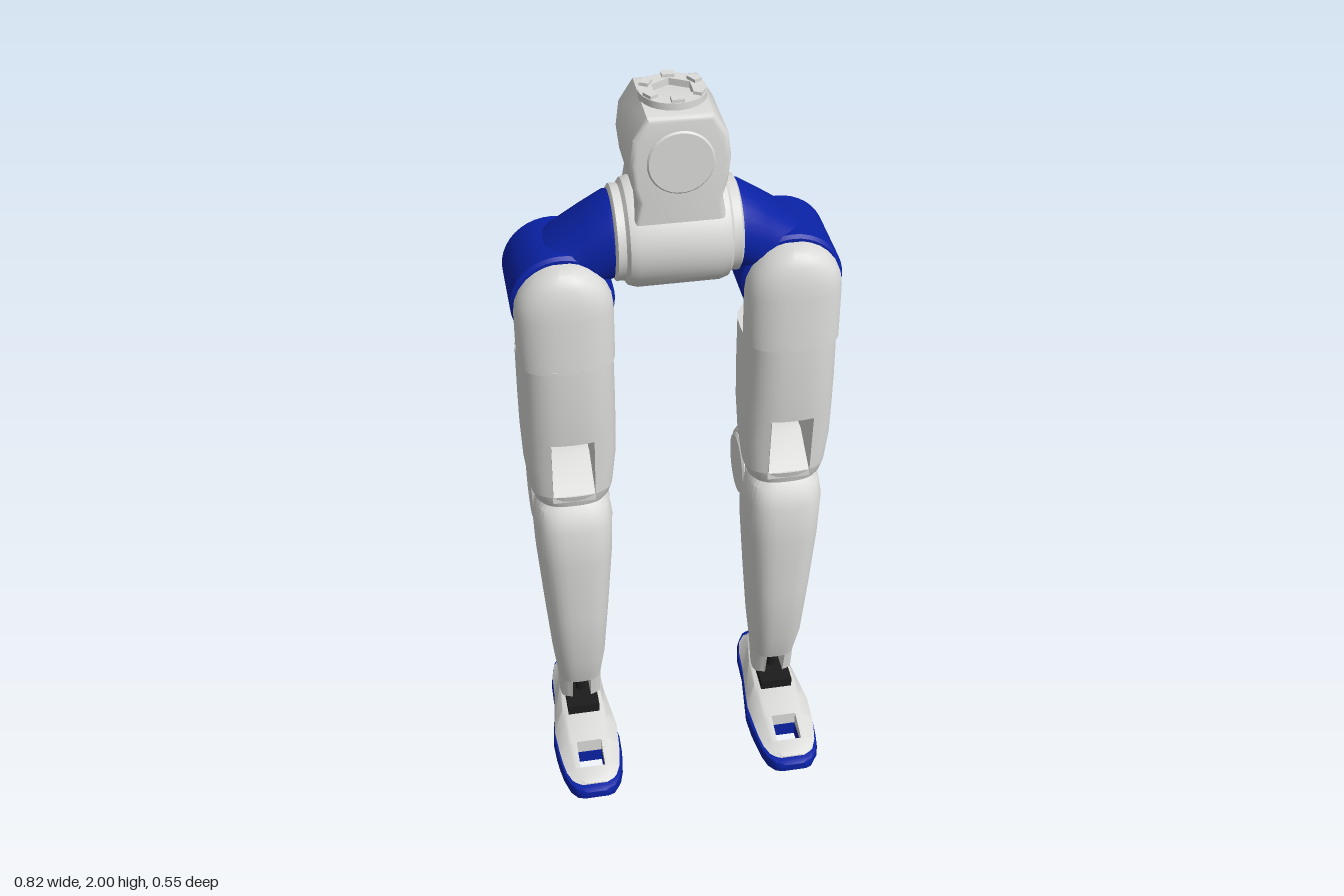
import * as THREE from 'three';
import { toCreasedNormals } from 'three/addons/utils/BufferGeometryUtils.js';

const shellGrey = new THREE.MeshStandardMaterial({ color: 0xdcdcda });
const jointBlue = new THREE.MeshStandardMaterial({ color: 0x0a22a6 });
const ankleBlack = new THREE.MeshStandardMaterial({ color: 0x1c1c1c });

function add(parent, name, geo, mat, x = 0, y = 0, z = 0, crease = 0.6) {
  const mesh = new THREE.Mesh(toCreasedNormals(geo, crease), mat);
  mesh.name = name;
  mesh.position.set(x, y, z);
  parent.add(mesh);
  return mesh;
}

// Closed solid through rings of [x, y, z]; x may be clamped to cut a flat wall for openings
function loft(rings, lo = -9, hi = 9) {
  const R = rings.map(r => r.map(p => new THREE.Vector3(THREE.MathUtils.clamp(p[0], lo, hi), p[1], p[2])));
  const tris = [], n = R[0].length;
  for (let i = 0; i + 1 < R.length; i++) {
    for (let j = 0; j < n; j++) {
      const k = (j + 1) % n, a = R[i][j], b = R[i][k], c = R[i + 1][k], d = R[i + 1][j];
      tris.push([a, b, c], [a, c, d]);
    }
  }
  const cap = (r, flip) => {
    const c = r.reduce((s, p) => s.add(p), new THREE.Vector3()).divideScalar(n);
    for (let j = 0; j < n; j++) {
      const a = r[j], b = r[(j + 1) % n];
      tris.push(flip ? [c, b, a] : [c, a, b]);
    }
  };
  cap(R[0], true);
  cap(R[R.length - 1], false);
  const volume = tris.reduce((s, [a, b, c]) => s + a.dot(b.clone().cross(c)), 0);
  const pos = [];
  for (const [a, b, c] of tris) {
    const area = b.clone().sub(a).cross(c.clone().sub(a)).length();
    if (area < 1e-9) continue;
    for (const p of volume < 0 ? [a, c, b] : [a, b, c]) pos.push(p.x, p.y, p.z);
  }
  const g = new THREE.BufferGeometry();
  g.setAttribute('position', new THREE.Float32BufferAttribute(pos, 3));
  return g;
}

const pow = (v, e) => Math.sign(v) * Math.abs(v) ** e;

// Horizontal rounded section: height, half width, front z, back z, z of the widest line
function oval([y, w, zf, zb, zc = (zf + zb) / 2], e = 0.75) {
  return Array.from({ length: 36 }, (_, i) => {
    const t = (i / 36) * Math.PI * 2, s = pow(Math.sin(t), e);
    return [w * pow(Math.cos(t), e), y, zc + s * (s > 0 ? zf - zc : zc - zb)];
  });
}

// Upright ring at x for the hip arm
function armRing(x, cy, ry, rz, cz, e) {
  return Array.from({ length: 32 }, (_, i) => {
    const t = (i / 32) * Math.PI * 2;
    return [x, cy + ry * pow(Math.sin(t), e), cz + rz * pow(Math.cos(t), e)];
  });
}

function cylinderX(r, width, bevel = 0.01) {
  const h = width / 2;
  const p = [[0, -h], [r - bevel, -h], [r, bevel - h], [r, h - bevel], [r - bevel, h], [0, h]];
  return new THREE.LatheGeometry(p.map(q => new THREE.Vector2(...q)), 40).rotateZ(Math.PI / 2);
}

// Foot sections run along z: [z, half width, bottom, top, top half width]
function footRing([z, w, y0, y1, tw]) {
  const m = y0 + (y1 - y0) * 0.4;
  return [[-w * 0.92, y0, z], [-w, m, z], [-tw, y1 - 0.004, z], [-tw * 0.85, y1, z],
    [tw * 0.85, y1, z], [tw, y1 - 0.004, z], [w, m, z], [w * 0.92, y0, z]];
}

function addFootLayer(foot, name, mat, front, middle, back) {
  const hole = [front[front.length - 1], ...middle, back[0]].map(footRing);
  add(foot, name + 'Toe', loft(front.map(footRing)), mat);
  add(foot, name + 'SideA', loft(hole, 0.035, 9), mat);
  add(foot, name + 'SideB', loft(hole, -9, -0.035), mat);
  add(foot, name + 'Heel', loft(back.map(footRing)), mat);
}

function buildFoot() {
  const foot = new THREE.Group();
  foot.name = 'foot';
  addFootLayer(foot, 'sole', jointBlue,
    [[0.275, 0.036, 0.022, 0.045, 0.03], [0.262, 0.056, 0.014, 0.05, 0.052], [0.235, 0.074, 0.008, 0.05, 0.07], [0.2, 0.084, 0.005, 0.05, 0.08]],
    [[0.16, 0.09, 0.004, 0.05, 0.085]],
    [[0.12, 0.094, 0.003, 0.048, 0.089], [0.06, 0.096, 0.004, 0.042, 0.092], [0, 0.088, 0.008, 0.035, 0.085], [-0.1, 0.075, 0.008, 0.034, 0.072],
      [-0.18, 0.073, 0.004, 0.048, 0.07], [-0.235, 0.062, 0.005, 0.06, 0.056], [-0.262, 0.045, 0.01, 0.06, 0.04], [-0.275, 0.028, 0.018, 0.052, 0.024]]);
  addFootLayer(foot, 'upper', shellGrey,
    [[0.25, 0.04, 0.045, 0.054, 0.032], [0.23, 0.062, 0.045, 0.06, 0.048], [0.2, 0.075, 0.045, 0.068, 0.054]],
    [[0.16, 0.082, 0.045, 0.078, 0.056]],
    [[0.12, 0.086, 0.044, 0.087, 0.058], [0.05, 0.09, 0.036, 0.1, 0.06], [0, 0.085, 0.03, 0.105, 0.06], [-0.1, 0.073, 0.03, 0.107, 0.055],
      [-0.17, 0.07, 0.044, 0.107, 0.045], [-0.215, 0.06, 0.055, 0.085, 0.04], [-0.25, 0.04, 0.055, 0.066, 0.03]]);
  return foot;
}

function buildLeg() {
  const leg = new THREE.Group();

  // Thigh: domed front cap against the hip motor, full body, open window with two pillars
  const dome = [[1.335, 0.122, 0.078, -0.006, -0.006], [1.48, 0.122, 0.076, -0.006, -0.006]];
  for (const a of [15, 30, 45, 58, 70, 80]) {
    const t = a * Math.PI / 180;
    dome.push([1.48 + 0.122 * Math.sin(t), 0.122 * Math.cos(t), 0.014 + 0.062 * Math.cos(t) ** 0.6, -0.006, -0.006]);
  }
  add(leg, 'thighCap', loft(dome.map(s => oval(s, 0.85))), shellGrey);
  const windowTop = [1.11, 0.122, 0.066, -0.158], windowLow = [0.93, 0.108, 0.05, -0.11];
  add(leg, 'thigh', loft([[1.345, 0.121, 0.078, -0.17], [1.2, 0.122, 0.076, -0.168], windowTop].map(s => oval(s))), shellGrey);
  const pillar = [windowTop, [1.02, 0.119, 0.057, -0.128], windowLow].map(s => oval(s));
  add(leg, 'thighPillarA', loft(pillar, 0.055, 9), shellGrey);
  add(leg, 'thighPillarB', loft(pillar, -9, -0.055), shellGrey);
  add(leg, 'thighEnd', loft([windowLow, [0.9, 0.098, 0.042, -0.1], [0.86, 0.06, 0.03, -0.1]].map(s => oval(s))), shellGrey);
  const sill = [[0.045, 0.91], [0.045, 0.93], [-0.06, 0.99], [-0.115, 0.99], [-0.1, 0.91]];
  add(leg, 'windowSill', loft([-0.056, 0.056].map(x => sill.map(([z, y]) => [x, y, z]))), shellGrey);

  // Knee drum with side covers
  add(leg, 'kneeDrum', cylinderX(0.106, 0.19, 0.012), shellGrey, 0, 0.838, -0.128);
  add(leg, 'kneeCovers', cylinderX(0.086, 0.206, 0.006), shellGrey, 0, 0.838, -0.128);

  // Shin, forked at the ankle
  const fork = [0.21, 0.061, 0.005, -0.135];
  add(leg, 'shin', loft([[0.9, 0.075, 0.03, -0.1], [0.875, 0.096, 0.055, -0.13], [0.82, 0.105, 0.073, -0.155], [0.7, 0.101, 0.073, -0.162],
    [0.5, 0.087, 0.06, -0.16], [0.32, 0.073, 0.045, -0.155], fork].map(s => oval(s, 0.68))), shellGrey);
  const prongs = [fork, [0.13, 0.058, -0.015, -0.1]].map(s => oval(s, 0.68));
  add(leg, 'ankleForkA', loft(prongs, 0.026, 9), shellGrey);
  add(leg, 'ankleForkB', loft(prongs, -9, -0.026), shellGrey);

  // Ankle joint and push rods
  add(leg, 'ankleCross', new THREE.BoxGeometry(0.09, 0.03, 0.13), ankleBlack, 0, 0.118, -0.04);
  add(leg, 'anklePivot', new THREE.CylinderGeometry(0.013, 0.013, 0.09, 12), ankleBlack, 0, 0.145, -0.05);
  for (const s of [-1, 1]) {
    add(leg, 'ankleRod', new THREE.CylinderGeometry(0.009, 0.012, 0.11, 12), ankleBlack, s * 0.032, 0.155, -0.112);
    add(leg, 'rodEnd', cylinderX(0.017, 0.02, 0.004), ankleBlack, s * 0.032, 0.12, -0.112);
  }
  leg.add(buildFoot());

  // Hip motor housing
  const motor = cylinderX(0.128, 0.207, 0.008).rotateY(Math.PI / 2);
  add(leg, 'hipMotor', motor, jointBlue, 0, 1.488, -0.112);
  return leg;
}

function buildPelvis() {
  const pelvis = new THREE.Group();
  pelvis.name = 'pelvis';

  // Cross barrel with end flanges
  const half = [[0.137, 0.1], [0.13, 0.122], [0.118, 0.13], [0.118, 0.15], [0.108, 0.156], [0, 0.156]];
  const profile = [...half.map(([r, x]) => [r, -x]).reverse(), ...half];
  const barrel = new THREE.LatheGeometry(profile.map(p => new THREE.Vector2(...p)), 48).rotateZ(Math.PI / 2);
  add(pelvis, 'hipBarrel', barrel, shellGrey, 0, 1.625, -0.09);

  // Waist housing with rounded shoulders
  const side = [[0.107, 1.6], [0.1, 1.69], [0.088, 1.76], [0.1, 1.8], [0.107, 1.86], [0.1, 1.915], [0.07, 1.962]];
  const outline = [...side, ...side.map(([x, y]) => [-x, y]).reverse()].map(p => new THREE.Vector2(...p));
  const waist = new THREE.ExtrudeGeometry(new THREE.Shape(outline),
    { depth: 0.196, bevelSize: 0.013, bevelThickness: 0.015, bevelSegments: 3 });
  add(pelvis, 'waistHousing', waist, shellGrey, 0, 0, -0.188);
  const cover = cylinderX(0.08, 0.236, 0.004).rotateY(Math.PI / 2);
  add(pelvis, 'waistCovers', cover, shellGrey, 0, 1.86, -0.09);

  // Mounting ring with lugs
  const ring = new THREE.Shape().absarc(0, 0, 0.08, 0, Math.PI * 2);
  const hex = Array.from({ length: 6 }, (_, i) => new THREE.Vector2(0.052 * Math.sin(i * Math.PI / 3), 0.052 * Math.cos(i * Math.PI / 3)));
  ring.holes.push(new THREE.Path(hex));
  const ringGeo = new THREE.ExtrudeGeometry(ring, { depth: 0.022, bevelEnabled: false, curveSegments: 24 }).rotateX(-Math.PI / 2);
  add(pelvis, 'mountRing', ringGeo, shellGrey, 0, 1.97, -0.09);
  for (let i = 0; i < 6; i++) {
    const t = i * Math.PI / 3;
    const lug = add(pelvis, 'mountLug', new THREE.BoxGeometry(0.03, 0.012, 0.022), shellGrey, 0.066 * Math.sin(t), 1.994, -0.09 + 0.066 * Math.cos(t));
    lug.rotation.y = t;
  }
  return pelvis;
}

export function createModel() {
  const model = new THREE.Group();
  model.name = 'walkingLegs';
  model.add(buildPelvis());
  for (const s of [1, -1]) {
    const leg = buildLeg();
    leg.name = s > 0 ? 'leftLeg' : 'rightLeg';
    leg.position.x = s * 0.284;
    model.add(leg);
    // Sloping arm from the pelvis flange down to the hip motor
    const arm = [[0.148, 1.625, 0.108, 0.108, -0.09, 1], [0.165, 1.62, 0.108, 0.108, -0.093, 0.95], [0.22, 1.585, 0.1, 0.103, -0.105, 0.85],
      [0.29, 1.53, 0.102, 0.102, -0.112, 0.75], [0.37, 1.488, 0.082, 0.1, -0.112, 0.7]];
    add(model, s > 0 ? 'leftHipArm' : 'rightHipArm', loft(arm.map(([x, ...r]) => armRing(s * x, ...r))), jointBlue);
  }
  return model;
}
